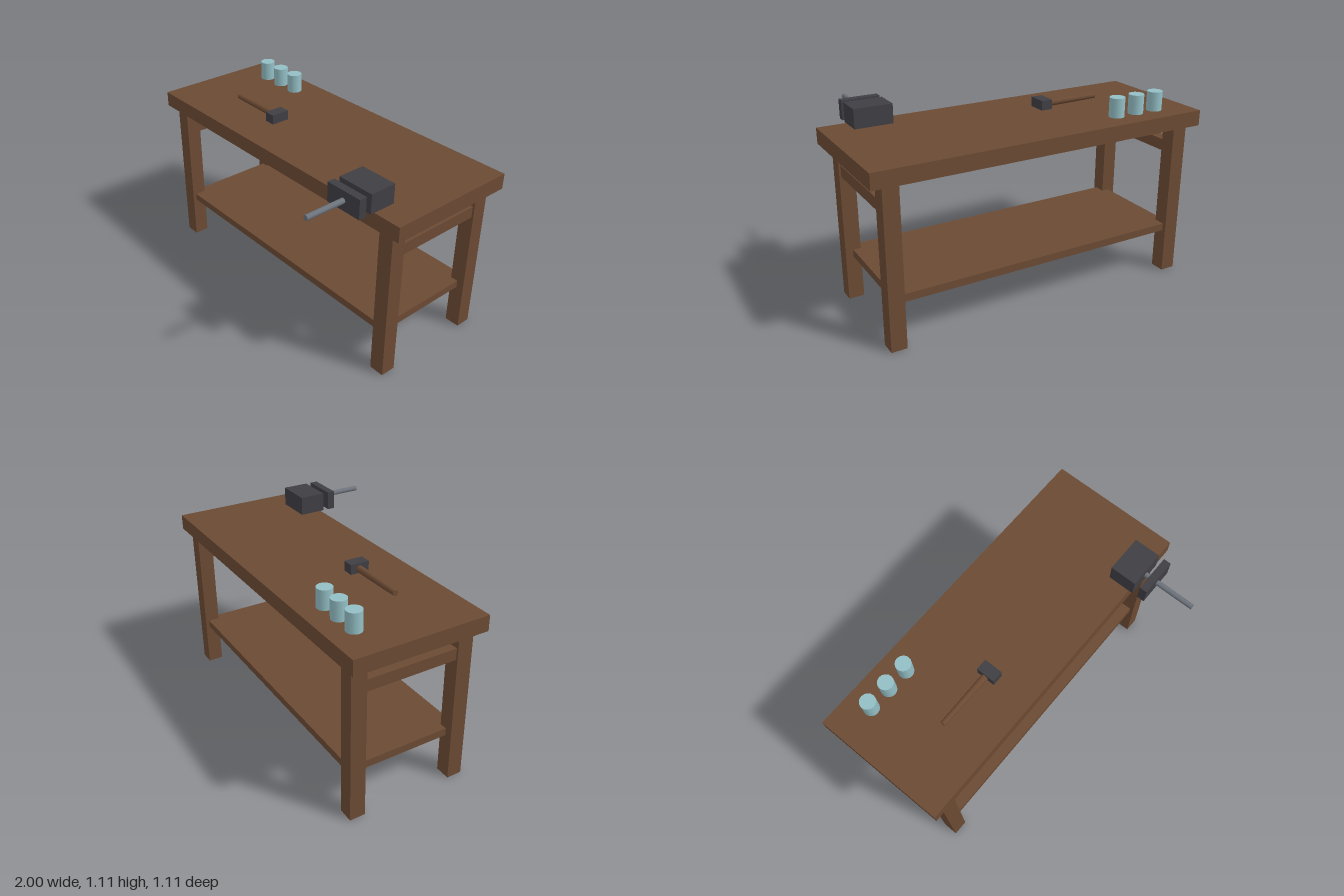
import * as THREE from 'three';

const material = (name, color) => {
  const m = new THREE.MeshStandardMaterial({ color });
  m.name = name;
  return m;
};

export function createModel() {
  const wood = material('wood', 0x6b4a33);
  const iron = material('dark iron', 0x3f3e44);
  const steel = material('steel', 0x6d737c);
  const glass = material('pale blue glass', 0x93bfc5);

  const model = new THREE.Group();
  model.name = 'workbench';

  const add = (parent, name, geometry, mat, x, y, z) => {
    const mesh = new THREE.Mesh(geometry, mat);
    mesh.name = name;
    mesh.position.set(x, y, z);
    parent.add(mesh);
    return mesh;
  };
  const box = (parent, name, mat, w, h, d, x, y, z) =>
    add(parent, name, new THREE.BoxGeometry(w, h, d), mat, x, y, z);
  const group = (name) => {
    const g = new THREE.Group();
    g.name = name;
    model.add(g);
    return g;
  };

  // Bench: top, shelf, four legs and a rail at each end
  const midZ = -0.167;
  const legX = 0.889;
  const legZ = 0.311;
  const bench = group('bench');
  box(bench, 'benchTop', wood, 2, 0.089, 0.778, 0, 0.9555, midZ);
  box(bench, 'shelf', wood, 1.778, 0.044, 0.667, 0, 0.28, midZ);
  for (const sx of [-1, 1]) {
    for (const sz of [-1, 1]) {
      box(bench, 'leg', wood, 0.089, 0.911, 0.089, sx * legX, 0.4555, midZ + sz * legZ);
    }
    box(bench, 'endRail', wood, 0.067, 0.067, 0.622, sx * legX, 0.778, midZ);
  }

  // Vise: fixed body, moving jaw and screw
  const vise = group('vise');
  box(vise, 'viseBody', iron, 0.222, 0.111, 0.156, 0.722, 1.0555, 0.167);
  box(vise, 'viseJaw', iron, 0.222, 0.111, 0.044, 0.722, 1.0555, 0.3);
  const screw = add(vise, 'viseScrew', new THREE.CylinderGeometry(0.0155, 0.0155, 0.356, 10), steel, 0.722, 1.056, 0.378);
  screw.rotation.x = Math.PI / 2;

  // Hammer lying on the bench
  const hammer = group('hammer');
  box(hammer, 'hammerHead', iron, 0.067, 0.056, 0.111, -0.247, 1.028, -0.056);
  const handle = add(hammer, 'hammerHandle', new THREE.CylinderGeometry(0.0165, 0.021, 0.356, 10), wood, -0.436, 1.024, -0.06);
  handle.rotation.z = Math.PI / 2;

  // Row of jars
  const jars = group('jars');
  for (let i = 0; i < 3; i++) {
    add(jars, 'jar', new THREE.CylinderGeometry(0.044, 0.044, 0.111, 16), glass, -0.78 + i * 0.1335, 1.0555, -0.411);
  }

  return model;
}
